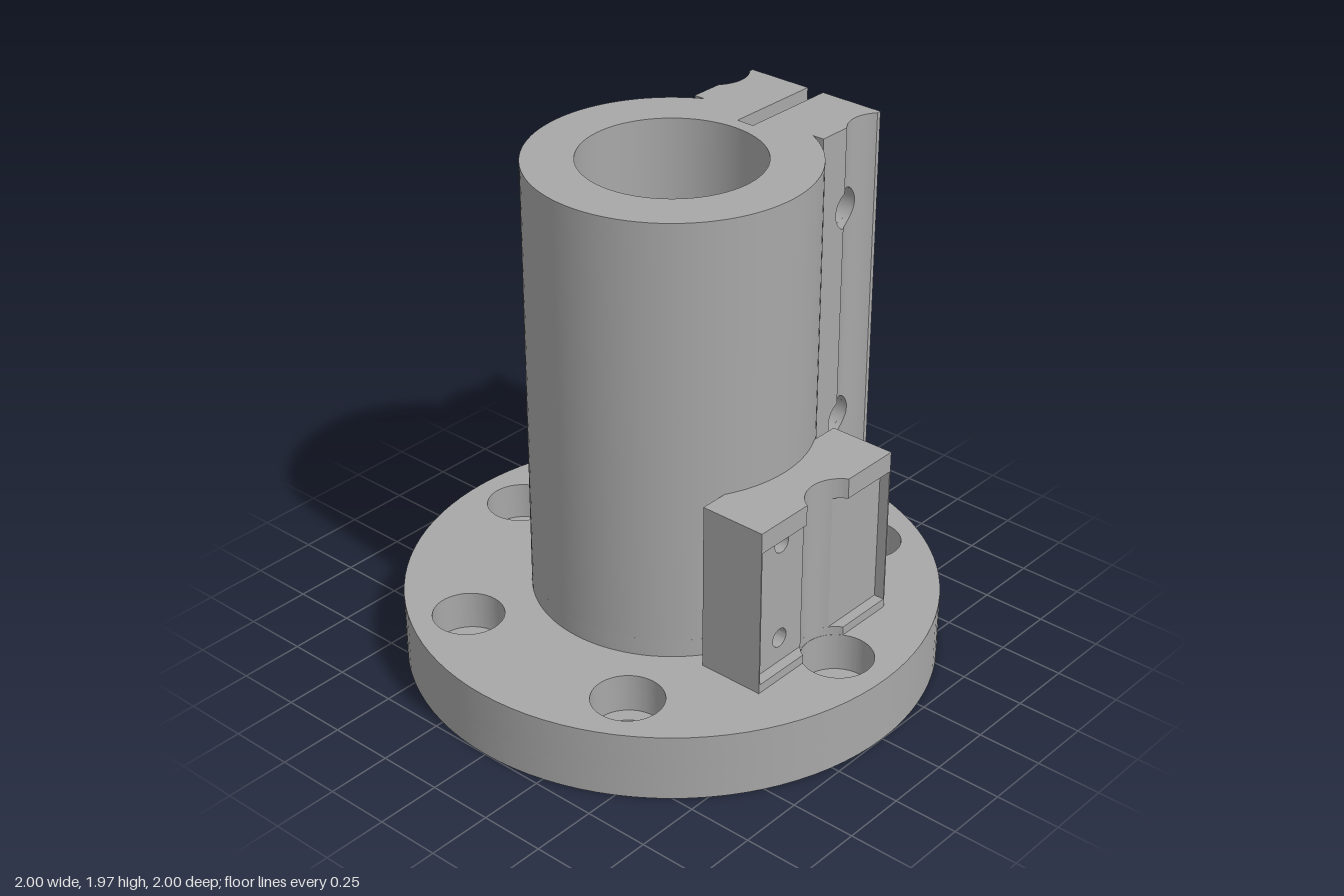
import * as THREE from 'three';
import { toCreasedNormals } from 'three/addons/utils/BufferGeometryUtils.js';

const TOP = 1.97, FLANGE_TOP = 0.26;
const HEAD_R = 0.133, SCREW_R = 0.075, BOLT_CIRCLE = 0.786;
const EAR = { x0: 0.46, x1: 0.785, y0: 0.465, zIn: 0.035, zMid: 0.24, zOut: 0.295 };
const BOLT_X = 0.62, BOLT_YS = [0.79, 1.645], NUT_R = 0.125;

const steel = new THREE.MeshStandardMaterial({ color: 0xa8a8a8, side: THREE.DoubleSide });
steel.name = 'grey metal';

function addMesh(parent, name, geometry) {
  const mesh = new THREE.Mesh(toCreasedNormals(geometry, 0.45), steel);
  mesh.name = name;
  parent.add(mesh);
  return mesh;
}

const polygon = (pts) => new THREE.Shape(pts.map(([x, y]) => new THREE.Vector2(x, y)));
const rect = (x0, y0, x1, y1) => polygon([[x0, y0], [x1, y0], [x1, y1], [x0, y1]]);
const disc = (r) => new THREE.Shape().absarc(0, 0, r, 0, Math.PI * 2, false);
const punch = (shape, x, y, r) => {
  shape.holes.push(new THREE.Path().absarc(x, y, r, 0, Math.PI * 2, true));
  return shape;
};

const extrude = (shape, depth, curveSegments) =>
  new THREE.ExtrudeGeometry(shape, { depth, bevelEnabled: false, curveSegments });

// Plan shape (x, z) raised from y0 to y1
const raise = (shape, y0, y1, segments = 48) =>
  extrude(shape, y1 - y0, segments).rotateX(Math.PI / 2).translate(0, y1, 0);

// Flange plan with six screw holes of the given radius
function flangePlan(holeR, centreR) {
  const shape = disc(1);
  for (let i = 0; i < 6; i++) {
    const a = Math.PI / 6 + (i * Math.PI) / 3;
    punch(shape, BOLT_CIRCLE * Math.cos(a), BOLT_CIRCLE * Math.sin(a), holeR);
  }
  return centreR ? punch(shape, 0, 0, centreR) : shape;
}

// Ear side surface: flat, with a scalloped channel above the flange screw
function earDepth(x) {
  const d = x - 0.68;
  if (Math.abs(d) >= HEAD_R) return EAR.zOut;
  return Math.min(EAR.zOut, 0.395 - Math.sqrt(HEAD_R * HEAD_R - d * d));
}

// Half height of a bolt hole or a nut pocket at a distance from its centre
const roundHole = {
  r: SCREW_R,
  half: (d) => Math.sqrt(Math.max(0, SCREW_R * SCREW_R - d * d)),
};
const hexPocket = {
  r: NUT_R,
  half: (d) => Math.max(0, Math.min(NUT_R / 2, NUT_R - Math.abs(d))) * Math.sqrt(3),
};

// Outer layer of an ear: scalloped face, rim walls and hole walls
function earSkin(hole) {
  const raw = [EAR.x0, EAR.x1];
  const chord = Math.sqrt(HEAD_R ** 2 - 0.1 ** 2);
  for (let i = 0; i <= 16; i++) {
    raw.push(0.68 + chord * (i / 8 - 1));
    raw.push(BOLT_X + hole.r * Math.cos((i * Math.PI) / 16));
  }
  raw.push(BOLT_X - hole.r / 2, BOLT_X + hole.r / 2);
  const xs = [...new Set(raw.map((x) => +x.toFixed(4)))].sort((a, b) => a - b);
  const half = (x) => hole.half(x - BOLT_X);
  const pos = [];
  const quad = (a, b, c, d) => pos.push(...a, ...b, ...c, ...a, ...c, ...d);

  // Scalloped face in bands below, between and above the holes
  const bands = [
    [() => EAR.y0, (x) => BOLT_YS[0] - half(x)],
    [(x) => BOLT_YS[0] + half(x), (x) => BOLT_YS[1] - half(x)],
    [(x) => BOLT_YS[1] + half(x), () => TOP],
  ];
  const at = (x, y) => [x, y, earDepth(x)];
  for (let i = 0; i + 1 < xs.length; i++) {
    const [a, b] = [xs[i], xs[i + 1]];
    for (const [lo, hi] of bands) quad(at(a, lo(a)), at(b, lo(b)), at(b, hi(b)), at(a, hi(a)));
  }

  // Walls following each loop from the inner slab to the face
  const wall = (loop) => loop.forEach(([x, y], i) => {
    const [u, v] = loop[(i + 1) % loop.length];
    quad([x, y, EAR.zMid], [u, v, EAR.zMid], at(u, v), at(x, y));
  });
  const back = [...xs].reverse();
  wall([...xs.map((x) => [x, EAR.y0]), ...back.map((x) => [x, TOP])]);
  const inside = xs.filter((x) => Math.abs(x - BOLT_X) < hole.r + 1e-3);
  const insideBack = [...inside].reverse();
  for (const y of BOLT_YS) {
    wall([
      ...inside.map((x) => [x, y + half(x)]),
      ...insideBack.slice(1, -1).map((x) => [x, y - half(x)]),
    ]);
  }
  const geometry = new THREE.BufferGeometry();
  geometry.setAttribute('position', new THREE.Float32BufferAttribute(pos, 3));
  return geometry;
}

function clampEar(name, hole) {
  const ear = new THREE.Group();
  ear.name = name;
  const slab = rect(EAR.x0, EAR.y0, EAR.x1, TOP);
  for (const y of BOLT_YS) punch(slab, BOLT_X, y, SCREW_R);
  addMesh(ear, 'earSlab', extrude(slab, EAR.zMid - EAR.zIn, 16).translate(0, 0, EAR.zIn));
  addMesh(ear, 'earSkin', earSkin(hole));
  return ear;
}

// Plan of the front block; the channel clears the flange screw
function blockPlan(pocketed) {
  const w = pocketed ? 0.08 : 0.116;
  const a = Math.acos(w / HEAD_R);
  const s = new THREE.Shape();
  s.moveTo(-0.36, 0.46);
  s.lineTo(0.36, 0.46);
  s.lineTo(0.36, 0.72);
  if (pocketed) {
    s.lineTo(0.355, 0.72);
    s.lineTo(0.355, 0.679);
  }
  s.absarc(0, 0.785, HEAD_R, -a, a - Math.PI, true);
  if (pocketed) {
    s.lineTo(-0.08, 0.58);
    s.lineTo(-0.355, 0.58);
    s.lineTo(-0.355, 0.72);
  }
  s.lineTo(-0.36, 0.72);
  return s;
}

export function createModel() {
  const model = new THREE.Group();
  model.name = 'flangedClamp';

  // Flange: underside recess, solid web, then counterbores
  const flange = new THREE.Group();
  flange.name = 'flange';
  addMesh(flange, 'flangeBase', raise(flangePlan(SCREW_R, 0.263), 0, 0.06));
  addMesh(flange, 'flangeWeb', raise(flangePlan(SCREW_R), 0.06, 0.11));
  addMesh(flange, 'flangeCounterbores', raise(flangePlan(HEAD_R, 0.335), 0.11, FLANGE_TOP));
  model.add(flange);

  // Tube: closed ring at the foot, slotted above
  const R = 0.523, slot = Math.asin(EAR.zIn / R);
  addMesh(model, 'tubeFoot', raise(punch(disc(R), 0, 0, 0.335), FLANGE_TOP, 0.33));
  const slotted = new THREE.Shape().absarc(0, 0, R, slot, Math.PI * 2 - slot, false);
  slotted.lineTo(0.39, -EAR.zIn);
  slotted.lineTo(0.39, EAR.zIn);
  addMesh(model, 'slottedTube', raise(punch(slotted, 0, 0, 0.335), 0.33, TOP));

  // Clamp ears: round holes in front, nut pockets behind
  model.add(clampEar('frontEar', roundHole));
  const rear = clampEar('rearEar', hexPocket);
  rear.scale.z = -1;
  model.add(rear);

  // Front block with two shallow pockets
  const block = new THREE.Group();
  block.name = 'frontBlock';
  addMesh(block, 'blockBottom', raise(blockPlan(false), FLANGE_TOP, 0.295, 16));
  addMesh(block, 'blockMiddle', raise(blockPlan(true), 0.295, 0.84, 16));
  addMesh(block, 'blockTop', raise(blockPlan(false), 0.84, 0.92, 16));
  const plate = rect(-0.355, 0.295, -0.08, 0.84);
  for (const y of [0.395, 0.79]) punch(plate, -0.2, y, 0.037);
  addMesh(block, 'drilledPocketFloor', extrude(plate, 0.099, 16).translate(0, 0, 0.58));
  model.add(block);

  return model;
}
